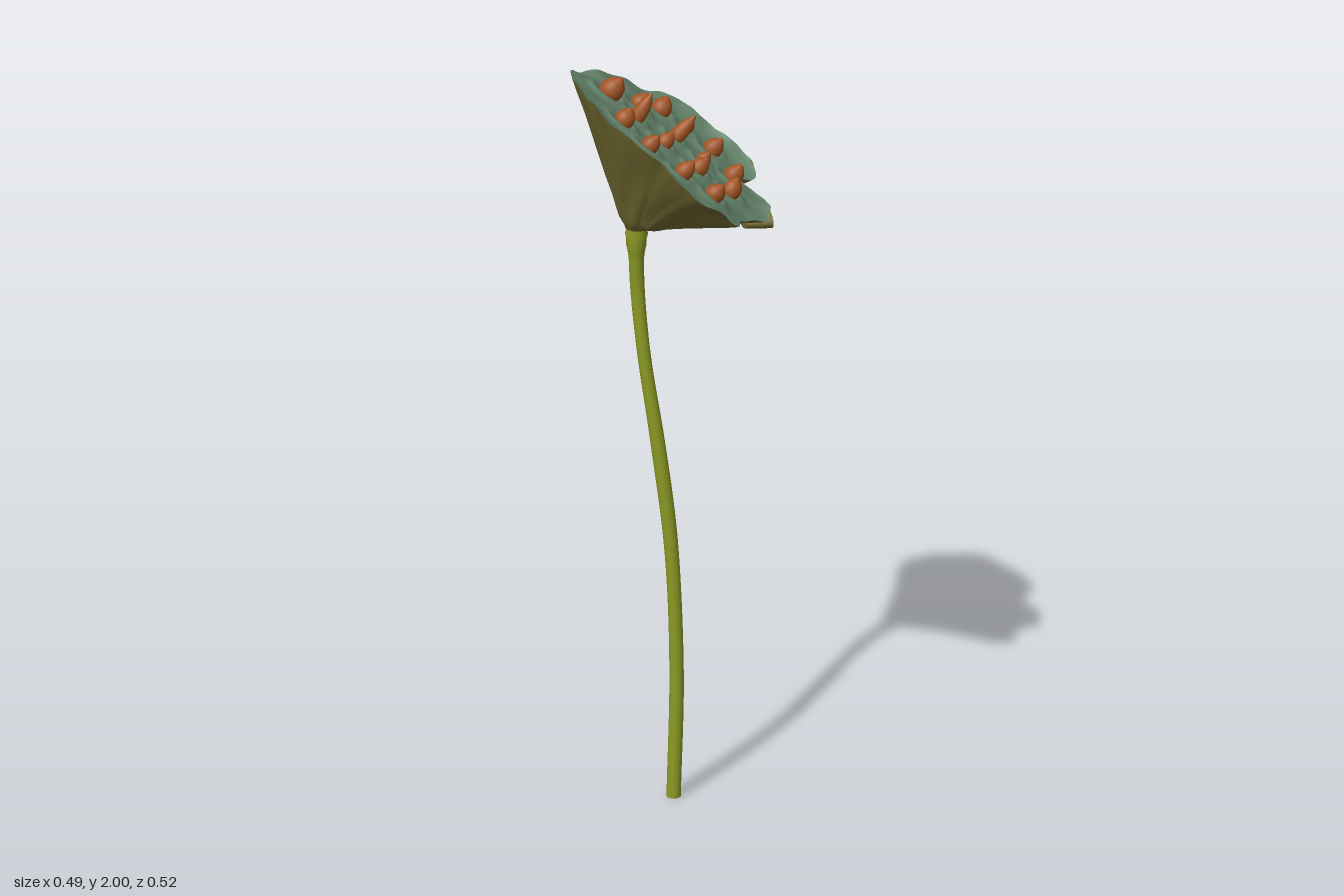
import * as THREE from 'three';

const material = (name, color) => {
  const m = new THREE.MeshStandardMaterial({ color });
  m.name = name;
  return m;
};

// Skins a stack of closed rings (each an array of Vector3) into a smooth surface.
function loft(rings) {
  const n = rings[0].length, pos = [], index = [];
  rings.forEach(r => r.forEach(p => pos.push(p.x, p.y, p.z)));
  for (let i = 0; i < rings.length - 1; i++) {
    for (let j = 0; j < n; j++) {
      const a = i * n + j, b = i * n + (j + 1) % n;
      index.push(a, a + n, b, b, a + n, b + n);
    }
  }
  const g = new THREE.BufferGeometry();
  g.setAttribute('position', new THREE.Float32BufferAttribute(pos, 3));
  g.setIndex(index);
  g.computeVertexNormals();
  return g;
}

// Tilted plane on which the seed face lies.
const planeY = (x, z) => 1.82 - 0.75 * x - 0.2 * z;
const faceNormal = new THREE.Vector3(0.75, 1, 0.2).normalize();

// Ragged rim: x, z and height above the plane.
const RIM = [
  [-0.24, -0.12, -0.02], [-0.2, -0.18, -0.03], [-0.15, -0.205, -0.01], [-0.08, -0.235, 0],
  [0, -0.255, 0], [0.075, -0.255, 0.03], [0.15, -0.22, 0.03], [0.2, -0.17, 0.04],
  [0.235, -0.14, 0.04], [0.24, -0.075, 0.02], [0.2, -0.055, 0], [0.195, -0.025, 0],
  [0.24, 0.005, 0.01], [0.24, 0.06, 0.015], [0.225, 0.105, 0], [0.18, 0.125, -0.02],
  [0.13, 0.175, -0.02], [0.115, 0.22, -0.02], [0.06, 0.25, 0], [-0.02, 0.255, 0],
  [-0.08, 0.225, 0.02], [-0.13, 0.19, 0.02], [-0.2, 0.1, 0], [-0.225, 0.05, 0], [-0.245, -0.03, -0.01],
];

// Seeds: x, z, radius, height scale.
const SEEDS = [
  [-0.145, -0.1, 0.032, 0.032], [-0.06, -0.13, 0.025, 0.025], [0.013, -0.18, 0.027, 0.026],
  [0.07, -0.155, 0.019, 0.022], [0.13, -0.12, 0.026, 0.028], [-0.087, -0.042, 0.02, 0.045],
  [0.022, -0.067, 0.021, 0.045], [0.08, -0.021, 0.019, 0.02], [0.16, -0.027, 0.026, 0.028],
  [-0.033, 0.017, 0.022, 0.024], [-0.145, 0.034, 0.027, 0.026], [-0.097, 0.1, 0.024, 0.026],
  [0.046, 0.054, 0.024, 0.026], [0.13, 0.072, 0.025, 0.027], [-0.018, 0.14, 0.024, 0.028],
  [0.06, 0.158, 0.026, 0.025],
];

// Height of the face: soft raised collars around small pits.
function faceY(x, z) {
  let y = planeY(x, z);
  for (const [sx, sz, r] of SEEDS) {
    const d = Math.hypot(x - sx, z - sz);
    y += 0.009 * Math.exp(-(((d - r * 1.25) / 0.012) ** 2));
  }
  return y;
}

export function createModel() {
  const group = new THREE.Group();
  const stemGreen = material('stem green', 0x8c9a24);
  const podOlive = material('pod olive', 0x716830);
  const faceGreen = material('face green', 0x64836a);
  const seedBrown = material('seed brown', 0xa05424);
  podOlive.side = faceGreen.side = THREE.DoubleSide;

  const add = (name, geometry, mat, parent = group) => {
    const mesh = new THREE.Mesh(geometry, mat);
    mesh.name = name;
    parent.add(mesh);
    return mesh;
  };

  // Stem: gently bending, swelling into a ridged collar under the pod
  const path = new THREE.CatmullRomCurve3([
    [0.006, 0, -0.02], [0.014, 0.35, -0.021], [0, 0.7, -0.024], [-0.035, 1, -0.033],
    [-0.065, 1.22, -0.045], [-0.08, 1.4, -0.055], [-0.086, 1.52, -0.047], [-0.085, 1.6, -0.045],
  ].map(p => new THREE.Vector3(...p)));
  const stemRings = [];
  for (let i = 0; i <= 100; i++) {
    const c = path.getPointAt(i / 100);
    const collar = THREE.MathUtils.smoothstep(c.y, 1.49, 1.56);
    const r = 0.0185 + 0.0015 * Math.sin(c.y * 9) * c.y * 0.6
      + collar * (0.008 + 0.003 * Math.sin(c.y * 190));
    const ring = k => Array.from({ length: 20 }, (_, j) => {
      const a = j / 20 * Math.PI * 2;
      return new THREE.Vector3(c.x + Math.cos(a) * k, c.y, c.z + Math.sin(a) * k);
    });
    if (i === 0) stemRings.push(ring(0), ring(r));
    stemRings.push(ring(r));
  }
  add('stem', loft(stemRings), stemGreen);

  // Rim loop shared by the pod and its face
  const N = 180;
  const rimCurve = new THREE.CatmullRomCurve3(
    RIM.map(([x, z, dy]) => new THREE.Vector3(x, planeY(x, z) + dy, z)), true, 'centripetal');
  const rim = Array.from({ length: N }, (_, j) => {
    const p = rimCurve.getPointAt(j / N), a = j / N * Math.PI * 2;
    const k = 1 + 0.006 * Math.sin(a * 23) + 0.005 * Math.sin(a * 37 + 1);
    return p.set(p.x * k, p.y + 0.003 * Math.sin(a * 17), p.z * k);
  });

  // Pod: funnel from the neck to the rim; each row is height progress, spread progress
  const neck = new THREE.Vector3(-0.085, 1.585, -0.045);
  const profile = [[0, 0], [0.03, 0.03], [0.07, 0.11], [0.13, 0.165], [0.22, 0.23], [0.35, 0.35],
    [0.5, 0.49], [0.65, 0.64], [0.8, 0.8], [0.92, 0.93], [1, 1]];
  add('podShell', loft(profile.map(([v, h]) => rim.map(p => {
    const a = Math.atan2(p.z, p.x);
    const nx = neck.x + Math.cos(a) * 0.03, nz = neck.z + Math.sin(a) * 0.03;
    const ripple = 0.004 * Math.sin(a * 9 + v * 5) * Math.sin(v * Math.PI);
    return new THREE.Vector3(
      nx + (p.x - nx) * h + Math.cos(a) * ripple,
      neck.y + (p.y - neck.y) * v,
      nz + (p.z - nz) * h + Math.sin(a) * ripple);
  }))), podOlive);

  // Face: slightly sunken inside the lip
  const faceRings = [];
  for (let i = 0; i <= 64; i++) {
    const s = 1 - i / 64;
    faceRings.push(rim.map(p => {
      const x = p.x * s, z = p.z * s;
      const lip = p.y - faceY(p.x, p.z);
      return new THREE.Vector3(x, faceY(x, z) + lip * s ** 6 - 0.008 * (1 - s ** 12), z);
    }));
  }
  add('seedFace', loft(faceRings), faceGreen);

  // Broken pocket under the low lobe
  const pocket = add('brokenPocket', new THREE.CylinderGeometry(1, 0.8, 0.07, 28), podOlive);
  pocket.rotation.z = -Math.PI / 2;
  pocket.scale.set(0.024, 1, 0.048);
  pocket.position.set(0.204, 1.616, 0.052);

  // Seeds: pointed nuts standing out of their pits
  const nut = new THREE.LatheGeometry(new THREE.SplineCurve([
    [0.6, -0.7], [0.95, 0], [1, 0.5], [0.82, 1.05], [0.45, 1.45], [0.2, 1.7], [0, 1.78],
  ].map(p => new THREE.Vector2(...p))).getPoints(14), 20);
  const seeds = new THREE.Group();
  seeds.name = 'seeds';
  group.add(seeds);
  SEEDS.forEach(([x, z, r, h], i) => {
    const seed = add('seed', nut, seedBrown, seeds);
    const tilt = new THREE.Vector3(Math.sin(i * 2.3) * 0.15, 0, Math.cos(i * 1.7) * 0.15);
    seed.quaternion.setFromUnitVectors(new THREE.Vector3(0, 1, 0), tilt.add(faceNormal).normalize());
    seed.scale.set(r, h, r * 0.95);
    seed.position.set(x, planeY(x, z) - 0.006, z);
  });

  return group;
}
